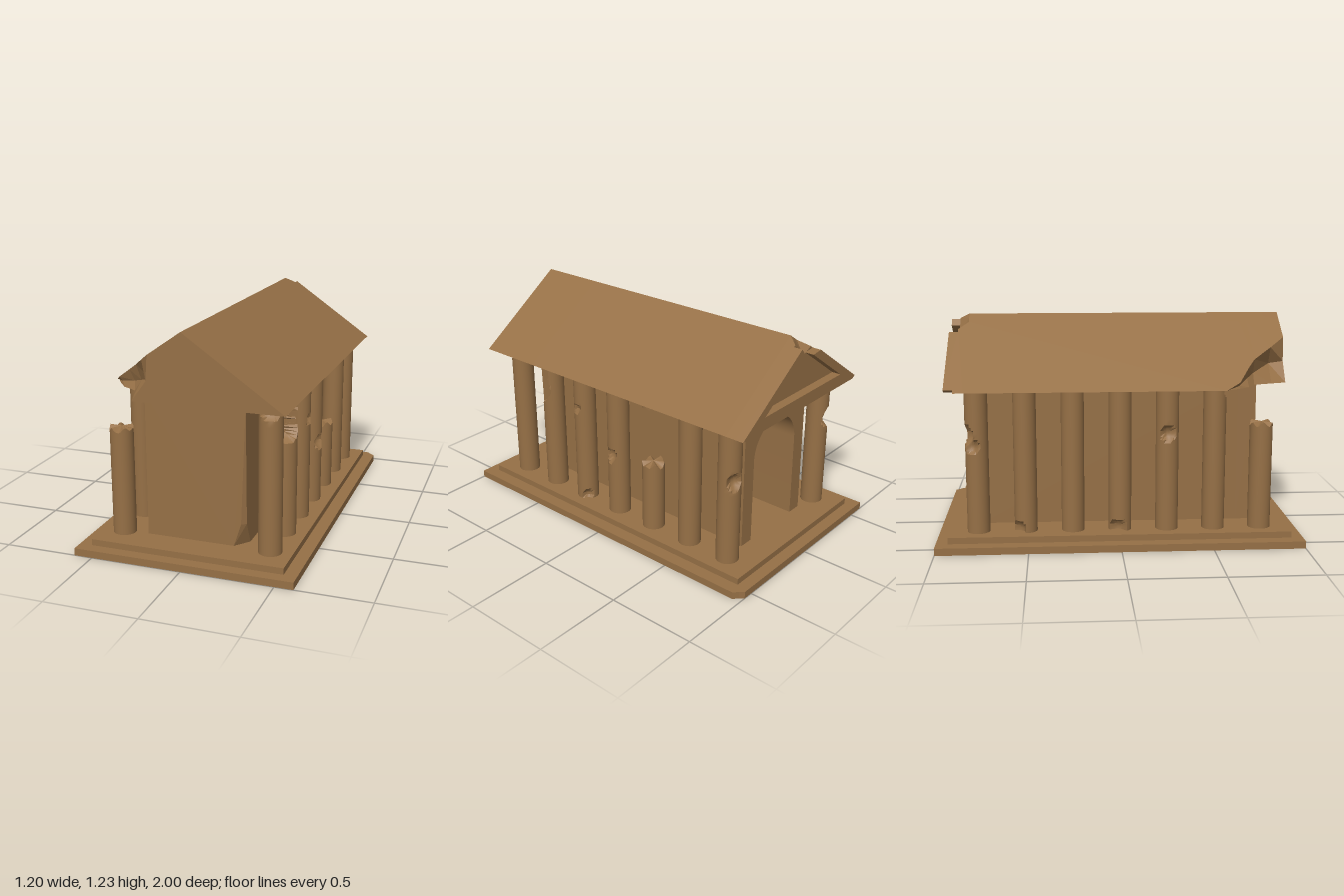
import * as THREE from 'three';
import { toCreasedNormals } from 'three/addons/utils/BufferGeometryUtils.js';
import { ConvexGeometry } from 'three/addons/geometries/ConvexGeometry.js';

const stone = new THREE.MeshStandardMaterial({ color: 0x967046 });
const FLOOR = 0.075, EAVE = 0.86, RIDGE = 1.23, HALF = 0.53;
const V = (x, y, z) => new THREE.Vector3(x, y, z);
const slopeY = (x) => RIDGE - Math.abs(x) * (RIDGE - EAVE) / HALF;

function part(name, geometry) {
  const mesh = new THREE.Mesh(geometry, stone);
  mesh.name = name;
  return mesh;
}

function extrude(points, depth) {
  const shape = new THREE.Shape(points.map(([x, y]) => new THREE.Vector2(x, y)));
  return new THREE.ExtrudeGeometry(shape, { depth, bevelEnabled: false });
}

// Slab of the stepped base; one back corner may be broken off
function step(name, w, d, y, h, cut) {
  const g = extrude([[-w, -d], [w, -d], [w, d - cut], [w - cut * 0.6, d - cut * 0.5], [w - cut, d], [-w, d]], h);
  g.rotateX(-Math.PI / 2).translate(0, y, 0);
  return part(name, g);
}

// Column shaft: optional jagged ends, and bites [x, y, z, radius] relative to the axis
function column(name, x, z, { y0 = FLOOR, y1 = EAVE, jagTop = 0, jagBottom = 0, bites = [] } = {}) {
  const r = 0.0625, worn = bites.length > 0;
  const g = new THREE.CylinderGeometry(r, r, y1 - y0, 32, worn ? 48 : 1);
  g.translate(0, (y0 + y1) / 2, 0);
  const pos = g.attributes.position, p = V(0, 0, 0);
  for (let i = 0; i < pos.count; i++) {
    p.fromBufferAttribute(pos, i);
    const wave = Math.sin(p.x * 90 + 1) * Math.cos(p.z * 70) - 0.3;
    if (p.y > y1 - 1e-4) p.y += jagTop * wave;
    else if (p.y < y0 + 1e-4) p.y += jagBottom * wave;
    for (const [bx, by, bz, br] of bites) {
      const c = V(bx, by, bz), off = p.clone().sub(c);
      const radial = Math.hypot(p.x, p.z);
      if (off.length() >= br || radial < 1e-4) continue;
      // Slide the point inwards until it lies on the bite's sphere
      const n = V(-p.x / radial, 0, -p.z / radial);
      const b = off.dot(n);
      const t = -b + Math.sqrt(b * b - off.lengthSq() + br * br);
      p.addScaledVector(n, Math.min(t, 0.115));
    }
    pos.setXYZ(i, p.x, p.y, p.z);
  }
  const mesh = part(name, toCreasedNormals(g, 0.5));
  mesh.position.set(x, 0, z);
  return mesh;
}

// Skin between cross-sections { z, pts }, each counter-clockwise seen from +z
function loft(sections) {
  const out = [];
  const put = (k, i) => out.push(sections[k].pts[i][0], sections[k].pts[i][1], sections[k].z);
  const n = sections[0].pts.length, last = sections.length - 1;
  for (let k = 0; k < last; k++) {
    for (let i = 0; i < n; i++) {
      const j = (i + 1) % n;
      put(k, i); put(k, j); put(k + 1, j);
      put(k, i); put(k + 1, j); put(k + 1, i);
    }
  }
  for (const k of [0, last]) {
    const contour = sections[k].pts.map(([x, y]) => new THREE.Vector2(x, y));
    for (const f of THREE.ShapeUtils.triangulateShape(contour, [])) {
      (k ? f : [...f].reverse()).forEach((i) => put(k, i));
    }
  }
  const g = new THREE.BufferGeometry();
  g.setAttribute('position', new THREE.Float32BufferAttribute(out, 3));
  g.computeVertexNormals();
  return g;
}

function buildRoof() {
  const roof = new THREE.Group();
  roof.name = 'roof';
  const whole = [[0, RIDGE], [-0.03, slopeY(0.03)], [-0.06, slopeY(0.06)]];
  const chipped = [[0.04, slopeY(0.04)], [-0.04, 1.12], [-0.11, slopeY(0.11)]];
  const section = (z, top, tx, mid, bx) => ({
    z, pts: [[HALF, EAVE], ...top, [tx, slopeY(tx)], mid, [bx, EAVE]],
  });
  // Solid roof with a broken ridge end at the back and a missing front corner
  roof.add(part('roofBody', loft([
    section(-0.885, chipped, -HALF, [-0.52, EAVE], -0.5),
    section(-0.83, whole, -HALF, [-0.52, EAVE], -0.5),
    section(0.56, whole, -HALF, [-0.52, EAVE], -0.5),
    section(0.64, whole, -0.48, [-0.46, 0.875], -0.47),
    section(0.70, whole, -0.39, [-0.36, 0.9], -0.42),
    section(0.745, whole, -0.33, [-0.3, 0.92], -0.34),
    section(0.85, whole, -0.25, [-0.2, 0.96], -0.3),
    section(0.935, whole, -0.18, [-0.19, 0.97], -0.27),
  ])));
  // Raised border of the back gable, broken at the peak
  const frame = extrude([
    [-0.49, EAVE], [HALF, EAVE], [0.05, slopeY(0.05)], [0.02, 1.16],
    [0.35, 0.93], [-0.35, 0.93], [-0.06, 1.133], [-0.13, slopeY(0.13)], [-0.51, slopeY(0.51)],
  ], 0.05);
  roof.add(part('gableFrame', frame.translate(0, 0, -0.935)));
  return roof;
}

function buildChamber() {
  const chamber = new THREE.Group();
  chamber.name = 'chamber';
  const w = 0.275, r = 0.19, spring = 0.56, zf = 0.77, zi = 0.67;
  // Barrel-vaulted hall, open at the back
  const shape = new THREE.Shape();
  shape.moveTo(-w, FLOOR);
  shape.lineTo(-r, FLOOR);
  shape.lineTo(-r, spring);
  shape.absarc(0, spring, r, Math.PI, 0, true);
  shape.lineTo(r, FLOOR);
  shape.lineTo(w, FLOOR);
  shape.lineTo(w, EAVE);
  shape.lineTo(-w, EAVE);
  const hall = new THREE.ExtrudeGeometry(shape, { depth: zi + zf, bevelEnabled: false, curveSegments: 24 });
  chamber.add(part('vaultedHall', toCreasedNormals(hall.translate(0, 0, -zf), 0.5)));
  // Closed front wall with a chipped bottom corner
  chamber.add(part('frontWall', new ConvexGeometry([
    V(-w, FLOOR, zi), V(w, FLOOR, zi), V(w, EAVE, zi), V(-w, EAVE, zi),
    V(-w, FLOOR, zf), V(w, EAVE, zf), V(-w, EAVE, zf),
    V(0.21, FLOOR, zf), V(0.205, 0.13, zf), V(0.25, 0.2, zf), V(w, 0.2, zf - 0.02), V(w, FLOOR, zf - 0.08),
  ])));
  return chamber;
}

function buildColumns() {
  const columns = new THREE.Group();
  columns.name = 'columns';
  // Wear of each column from front to back; null marks one snapped in two
  const wear = {
    left: [
      { bites: [[0.02, 0.86, 0.08, 0.07]] },
      { bites: [[0.03, 0.7, 0.07, 0.1], [0.06, 0.79, 0.03, 0.05]] },
      { bites: [[0.07, 0.65, 0.01, 0.03], [0.05, 0.1, -0.05, 0.035]] },
      { bites: [[0.07, 0.44, 0.015, 0.045]] },
      null,
      {},
      { bites: [[0.03, 0.56, -0.07, 0.05]] },
    ],
    right: [
      { y1: 0.66, jagTop: 0.02 },
      { bites: [[0, 0.86, 0.07, 0.045]] },
      { bites: [[-0.07, 0.62, 0, 0.045]] },
      { bites: [[-0.06, 0.09, -0.02, 0.05]] },
      {},
      { bites: [[-0.05, 0.09, -0.05, 0.05]] },
      { bites: [[-0.03, 0.62, -0.07, 0.06], [-0.07, 0.56, -0.03, 0.045]] },
    ],
  };
  for (const [side, x] of [['left', 0.41], ['right', -0.41]]) {
    wear[side].forEach((options, i) => {
      const z = 0.775 - i * 0.2583, name = `${side}Column${i + 1}`;
      if (options) {
        columns.add(column(name, x, z, options));
      } else {
        columns.add(column(name + 'Stump', x, z, { y1: 0.465, jagTop: 0.025 }));
        columns.add(column(name + 'Top', x, z, { y0: 0.815, jagBottom: 0.025 }));
      }
    });
  }
  return columns;
}

export function createModel() {
  const model = new THREE.Group();
  model.name = 'ruinedTemple';
  model.add(
    step('lowerStep', 0.6, 1, 0, 0.04, 0.045),
    step('upperStep', HALF, 0.935, 0.04, 0.035, 0),
    buildColumns(),
    buildChamber(),
    buildRoof(),
  );
  return model;
}
